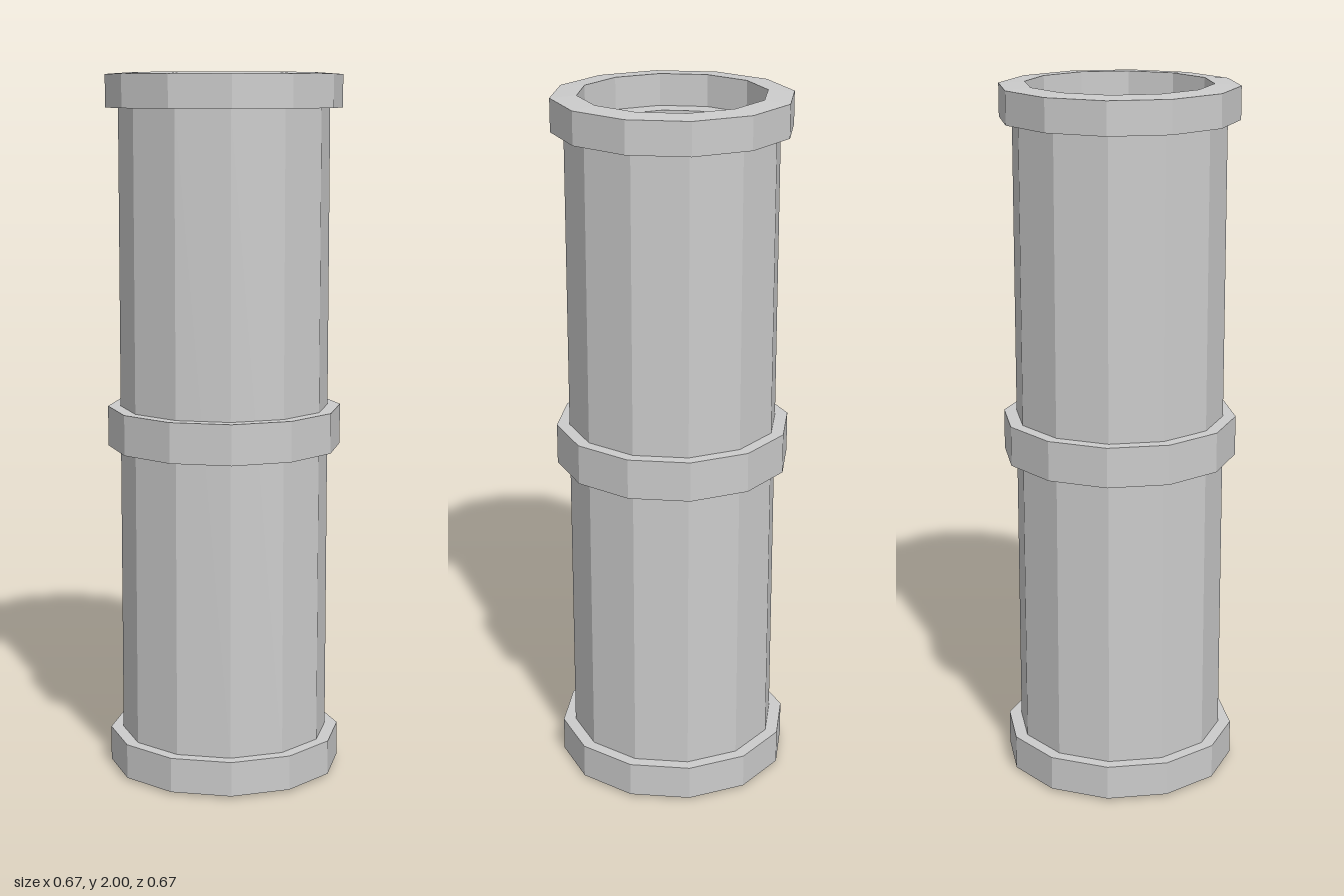
import * as THREE from 'three';

const SIDES = 12;

export function createModel() {
  const group = new THREE.Group();
  const material = new THREE.MeshStandardMaterial({ color: 0xcccccc, flatShading: true });

  // Closed twelve-sided ring; the profile runs up the outside and down the inside
  function ring(name, profile) {
    const points = [...profile, profile[0]].map(([r, y]) => new THREE.Vector2(r, y));
    const mesh = new THREE.Mesh(new THREE.LatheGeometry(points, SIDES), material);
    mesh.name = name;
    group.add(mesh);
  }

  // Hollow pipe, ending inside the two end collars
  ring('pipe', [[0.297, 0.095], [0.297, 1.91], [0.197, 1.91], [0.197, 0.095]]);

  // End collars, their open faces sloping very slightly outward to the bore
  ring('topCollar', [[0.333, 1.903], [0.333, 1.995], [0.26, 2], [0.26, 1.903]]);
  ring('bottomCollar', [[0.333, 0.007], [0.333, 0.106], [0.26, 0.106], [0.26, 0]]);

  // Joint band around the middle
  ring('middleBand', [[0.333, 0.947], [0.333, 1.061], [0.28, 1.061], [0.28, 0.947]]);

  return group;
}
